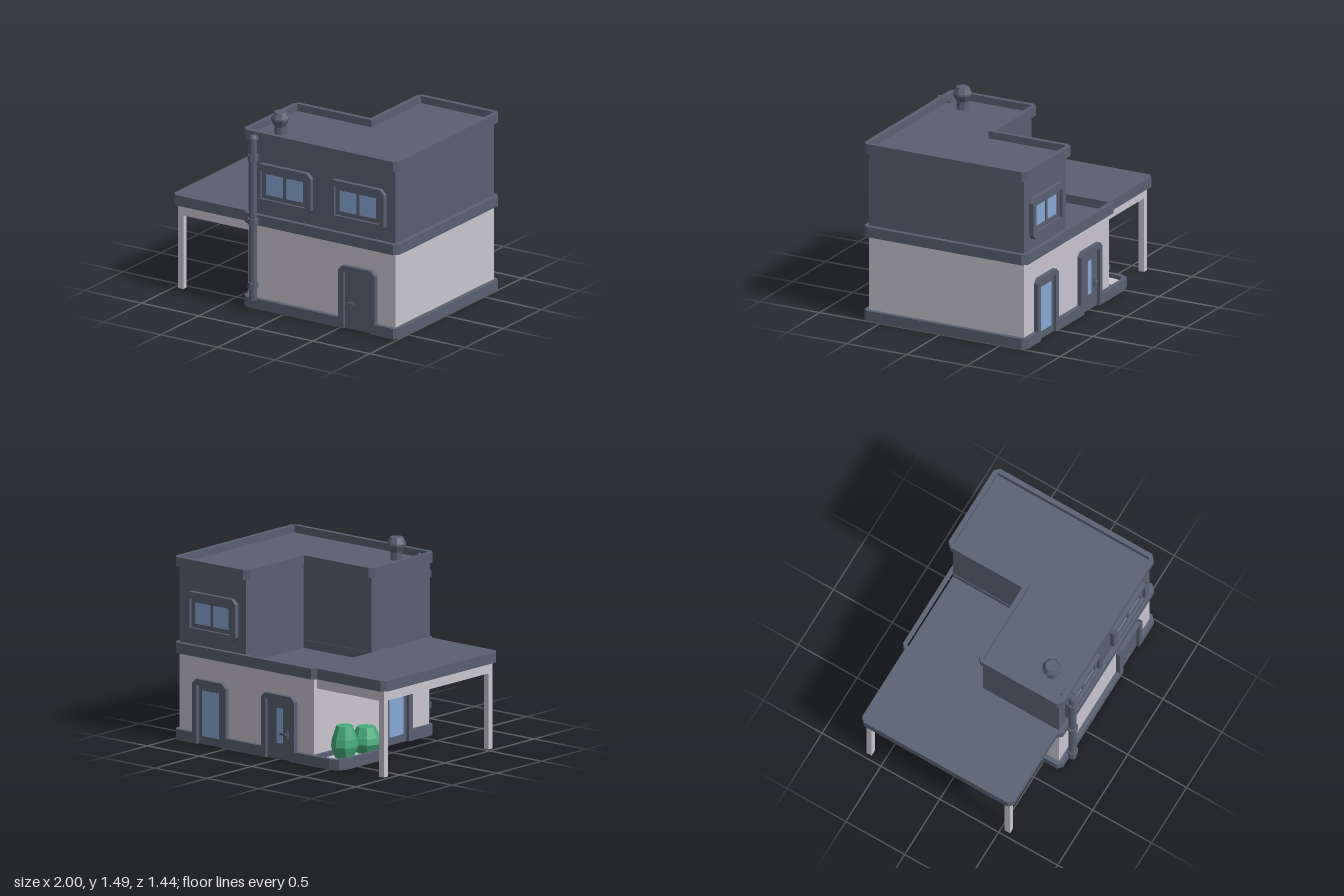
import * as THREE from 'three';

const mat = (name, color) => {
  const m = new THREE.MeshStandardMaterial({ color });
  m.name = name;
  return m;
};

export function createModel() {
  const slate = mat('slate', 0x596071);
  const plaster = mat('plaster', 0xc8c5cf);
  const glass = mat('glass', 0x87a8d6);
  const leaf = mat('leaf green', 0x47ad7d);
  const house = new THREE.Group();
  house.name = 'house';

  const add = (parent, name, geo, material, x = 0, y = 0, z = 0) => {
    const m = new THREE.Mesh(geo.index ? geo.toNonIndexed() : geo, material);
    m.geometry.computeVertexNormals(); // faceted look
    m.name = name;
    m.position.set(x, y, z);
    parent.add(m);
    return m;
  };
  const box = (parent, name, material, x0, x1, y0, y1, z0, z1) =>
    add(parent, name, new THREE.BoxGeometry(x1 - x0, y1 - y0, z1 - z0), material,
      (x0 + x1) / 2, (y0 + y1) / 2, (z0 + z1) / 2);

  // Outline from points; a third entry on a point cuts that corner by that size
  const outline = (pts) => {
    const out = [];
    pts.forEach(([x, y, c], i) => {
      if (!c) return out.push(new THREE.Vector2(x, y));
      const p = new THREE.Vector2(x, y);
      const toward = (q) => p.clone().add(new THREE.Vector2(q[0] - x, q[1] - y).setLength(c));
      const a = toward(pts[(i + pts.length - 1) % pts.length]);
      const b = toward(pts[(i + 1) % pts.length]);
      out.push(a);
      // large corners are rounded a little
      if (c > 0.05) out.push(a.clone().add(b).multiplyScalar(0.25).addScaledVector(p, 0.5));
      out.push(b);
    });
    return out;
  };
  const extrude = (pts, depth, hole) => {
    const s = new THREE.Shape(outline(pts));
    if (hole) s.holes.push(new THREE.Path(outline(hole)));
    return new THREE.ExtrudeGeometry(s, { depth, bevelEnabled: false });
  };
  // Horizontal slab from [x, z] points
  const slab = (name, material, pts, y0, y1, hole) => {
    const flip = (l) => l.map(([x, z, c]) => [x, -z, c]);
    const g = extrude(flip(pts), y1 - y0, hole && flip(hole));
    return add(house, name, g.rotateX(-Math.PI / 2), material, 0, y0, 0);
  };
  const rect = (x0, x1, y0, y1, c = 0) => [[x0, y0, c], [x1, y0, c], [x1, y1, c], [x0, y1, c]];

  // Plinth with gaps at the doors
  const C = 0.035, L = 0.115;
  const frontDoor = 0.645, glassDoor = 0.655, backDoor = -0.005, sideDoor = 0.23;
  slab('plinth', slate, [
    [1, -0.715, C],
    ...[glassDoor, backDoor].flatMap((d) => [[d + L, -0.715], [d + L, -0.68], [d - L, -0.68], [d - L, -0.715]]),
    [-0.36, -0.715],
    [-0.36, sideDoor - L], [-0.325, sideDoor - L], [-0.325, sideDoor + L], [-0.36, sideDoor + L],
    [-0.36, 0.645, C],
    [frontDoor - L, 0.645], [frontDoor - L, 0.61], [frontDoor + L, 0.61], [frontDoor + L, 0.645],
    [1, 0.645, C],
  ], 0, 0.08);

  // Lower storey, floor band and sunken terrace
  box(house, 'lowerWalls', plaster, -0.325, 0.965, 0.04, 0.655, -0.68, 0.61);
  box(house, 'terraceFloor', slate, -0.325, 0.33, 0.65, 0.665, -0.68, -0.03);
  slab('floorBand', slate, rect(-0.36, 1, -0.715, 0.645, C), 0.65, 0.73, rect(-0.325, 0.32, -0.68, -0.04));

  // L-shaped upper storey with parapet
  const ell = (o, c) => [
    [0.965 + o, -0.68 - o, c], [0.325 - o, -0.68 - o, c], [0.325 - o, -0.035 - o],
    [-0.325 - o, -0.035 - o, c], [-0.325 - o, 0.61 + o, c], [0.965 + o, 0.61 + o, c],
  ];
  slab('upperWalls', slate, ell(0, 0), 0.66, 1.315);
  slab('parapet', slate, ell(0.035, C), 1.295, 1.37, ell(0, 0));

  // Carport
  slab('carportRoof', slate, [[-0.36, -0.68], [-1, -0.68, C], [-1, 0.61, C], [-0.36, 0.61]], 0.65, 0.73);
  box(house, 'carportBeams', plaster, -0.965, -0.325, 0.57, 0.65, -0.645, 0.575);
  for (const z of [-0.645, 0.53]) box(house, 'carportPost', plaster, -0.965, -0.92, 0, 0.57, z, z + 0.045);

  // Planter with two bushes
  const bed = (o, c) => [[-0.36, -0.715 + o], [-0.6 + o, -0.715 + o, c], [-0.6 + o, -0.12 - o, c], [-0.36, -0.12 - o]];
  slab('planterRim', slate, bed(0, 0.1), 0, 0.08, bed(0.035, 0.08));
  slab('planterBottom', slate, bed(0.03, 0.08), 0, 0.03);
  slab('planterBed', plaster, bed(0.034, 0.08), 0.03, 0.05);
  const bush = (x, z, r, h) => {
    const profile = [[0, 0], [0.7, 0], [1, 0.36], [0.92, 0.6], [0.6, 1], [0, 1]]
      .map(([a, b]) => new THREE.Vector2(a * r, b * h));
    add(house, 'bush', new THREE.LatheGeometry(profile, 8), leaf, x, 0.05, z);
  };
  bush(-0.465, -0.5, 0.1, 0.24);
  bush(-0.465, -0.26, 0.113, 0.19);

  // Places a group on a wall, facing outwards
  const mount = (name, x, z, turn) => {
    const g = new THREE.Group();
    g.name = name;
    g.position.set(x, 0, z);
    g.rotation.y = turn;
    house.add(g);
    return g;
  };

  // Windows: raised frame, sash and two panes
  const windowAt = (x, z, turn) => {
    const g = mount('window', x, z, turn);
    add(g, 'windowFrame', extrude(rect(-0.242, 0.242, 0.81, 1.13, C), 0.037, rect(-0.195, 0.195, 0.86, 1.08)),
      slate, 0, 0, -0.002);
    add(g, 'windowSash', extrude(rect(-0.195, 0.195, 0.86, 1.08), 0.014,
      rect(-0.162, 0.162, 0.892, 1.052)), slate);
    box(g, 'mullion', slate, -0.013, 0.013, 0.89, 1.054, 0, 0.014);
    for (const s of [-1, 1]) box(g, 'pane', glass, s * 0.0875 - 0.0745, s * 0.0875 + 0.0745, 0.892, 1.052, -0.003, 0.004);
  };
  windowAt(0, 0.61, 0);
  windowAt(0.643, 0.61, 0);
  windowAt(0.643, -0.68, Math.PI);

  // Doors: frame, leaf, optional glass [half width, bottom, top] and handle
  const doorAt = (x, z, turn, pane, handle) => {
    const g = mount('door', x, z, turn);
    const frame = [[-0.16, 0.08], [-L, 0.08], [-L, 0.44], [L, 0.44], [L, 0.08], [0.16, 0.08], [0.16, 0.485, C], [-0.16, 0.485, C]];
    add(g, 'doorFrame', extrude(frame, 0.037), slate, 0, 0, -0.002);
    box(g, 'doorLeaf', slate, -L, L, 0, 0.44, -0.005, 0.012);
    if (pane) box(g, 'doorGlass', glass, -pane[0], pane[0], pane[1], pane[2], 0.01, 0.015);
    if (handle) {
      const s = handle;
      box(g, 'handlePlate', slate, s * 0.072 - 0.013, s * 0.072 + 0.013, 0.16, 0.225, 0.01, 0.02);
      box(g, 'handleStem', slate, s * 0.072 - 0.007, s * 0.072 + 0.007, 0.19, 0.207, 0.015, 0.04);
      box(g, 'handleLever', slate, s * 0.053 - 0.028, s * 0.053 + 0.028, 0.19, 0.207, 0.03, 0.04);
    }
  };
  doorAt(frontDoor, 0.61, 0, null, -1);
  doorAt(glassDoor, -0.68, Math.PI, [0.08, 0.06, 0.4]);
  doorAt(backDoor, -0.68, Math.PI, [0.028, 0.12, 0.38], 1);
  doorAt(-0.325, sideDoor, -Math.PI / 2, [0.08, 0.06, 0.4]);
  house.children.at(-1).position.set(-0.325, 0, sideDoor);

  // Drainpipe with collars and elbow
  const cyl = (name, r0, r1, h, x, y, z) =>
    add(house, name, new THREE.CylinderGeometry(r1, r0, h, 8), slate, x, y, z);
  const px = -0.24, pz = 0.675;
  cyl('drainpipe', 0.03, 0.03, 1.25, px, 0.705, pz);
  cyl('pipeElbow', 0.03, 0.016, 0.02, px, 1.34, pz);
  cyl('pipeOutlet', 0.028, 0.028, 0.09, px, 1.322, 0.63).rotation.x = Math.PI / 2;
  for (const y of [0.197, 0.688, 1.18]) cyl('pipeCollar', 0.041, 0.041, 0.045, px, y, pz);

  // Roof vent
  const vent = [[0, 0], [0.045, 0], [0.045, 0.075], [0.07, 0.125], [0.07, 0.14], [0.047, 0.185], [0, 0.185]]
    .map(([r, y]) => new THREE.Vector2(r, y));
  add(house, 'roofVent', new THREE.LatheGeometry(vent, 8), slate, -0.155, 1.3, 0.445);

  return house;
}
